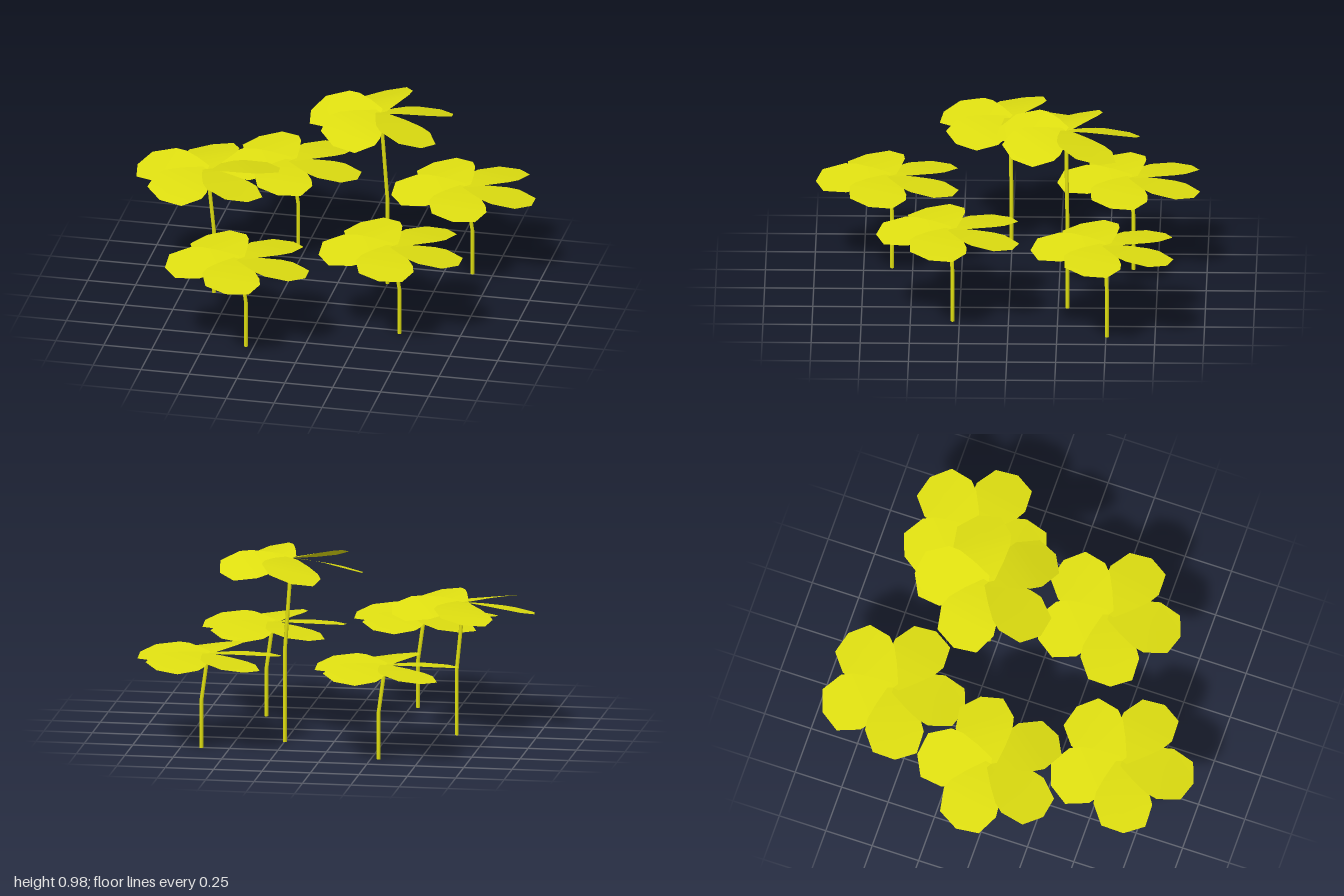
import * as THREE from 'three';

const yellow = new THREE.MeshStandardMaterial({ color: 0xdede10, side: THREE.DoubleSide });
yellow.name = 'yellow';

// Petal: three columns across, rows from the heart outwards
// [u along the sides, u along the middle, half width]
const PETAL_ROWS = [
  [0, 0, 0.03],
  [0.09, 0.09, 0.09],
  [0.17, 0.17, 0.135],
  [0.23, 0.24, 0.15],
  [0.345, 0.382, 0.112],
];

// Droops towards the tip and tilts sideways like a pinwheel blade
const petalHeight = (u, v) => 0.491 - 0.18 * u * u - 0.135 * v;

function petalGeometry() {
  const positions = [];
  const index = [];
  PETAL_ROWS.forEach(([side, middle, half], i) => {
    for (let j = -1; j <= 1; j++) {
      const u = j === 0 ? middle : side;
      const v = j * half;
      positions.push(u, petalHeight(u, v), -v);
    }
    if (i === 0) return;
    for (let j = 0; j < 2; j++) {
      const a = (i - 1) * 3 + j;
      const b = i * 3 + j;
      index.push(a, b, a + 1, b, b + 1, a + 1);
    }
  });
  const geometry = new THREE.BufferGeometry();
  geometry.setAttribute('position', new THREE.Float32BufferAttribute(positions, 3));
  geometry.setIndex(index);
  geometry.computeVertexNormals();
  return geometry;
}

// Head offset from the foot of the stem
const LEAN_X = -0.033;
const LEAN_Z = 0.008;

// Stem: upright lower half, leaning upper half
function stemGeometry() {
  const geometry = new THREE.CylinderGeometry(0.01, 0.01, 0.49, 8, 2);
  geometry.translate(0, 0.245, 0);
  const p = geometry.attributes.position;
  for (let i = 0; i < p.count; i++) {
    const t = Math.max(0, (p.getY(i) - 0.25) / 0.24);
    p.setX(i, p.getX(i) + LEAN_X * t);
    p.setZ(i, p.getZ(i) + LEAN_Z * t);
  }
  geometry.computeVertexNormals();
  return geometry;
}

// Foot position, vertical stretch and turn of the head in degrees
const FLOWERS = [
  { name: 'frontLeftFlower', x: -0.29, z: 0.605, stretch: 1, turn: 56 },
  { name: 'backLeftFlower', x: -0.29, z: -0.625, stretch: 1, turn: 56 },
  { name: 'frontRightFlower', x: 0.44, z: 0.285, stretch: 1, turn: 56 },
  { name: 'backRightFlower', x: 0.645, z: -0.505, stretch: 1, turn: 56 },
  { name: 'middleHeightFlower', x: -0.59, z: 0.003, stretch: 1.41, turn: 27 },
  { name: 'tallFlower', x: 0.248, z: -0.297, stretch: 1.95, turn: 27 },
];

export function createModel() {
  const model = new THREE.Group();
  model.name = 'flowers';
  const petalShape = petalGeometry();
  const stemShape = stemGeometry();

  for (const { name, x, z, stretch, turn } of FLOWERS) {
    const flower = new THREE.Group();
    flower.name = name;
    flower.position.set(x, 0, z);
    flower.scale.y = stretch;

    const stem = new THREE.Mesh(stemShape, yellow);
    stem.name = 'stem';
    flower.add(stem);

    const head = new THREE.Group();
    head.name = 'flowerHead';
    head.position.set(LEAN_X, 0, LEAN_Z);
    head.rotation.y = THREE.MathUtils.degToRad(turn);
    for (let i = 0; i < 5; i++) {
      const petal = new THREE.Mesh(petalShape, yellow);
      petal.name = 'petal';
      petal.rotation.y = (i * Math.PI * 2) / 5;
      head.add(petal);
    }
    flower.add(head);
    model.add(flower);
  }
  return model;
}
